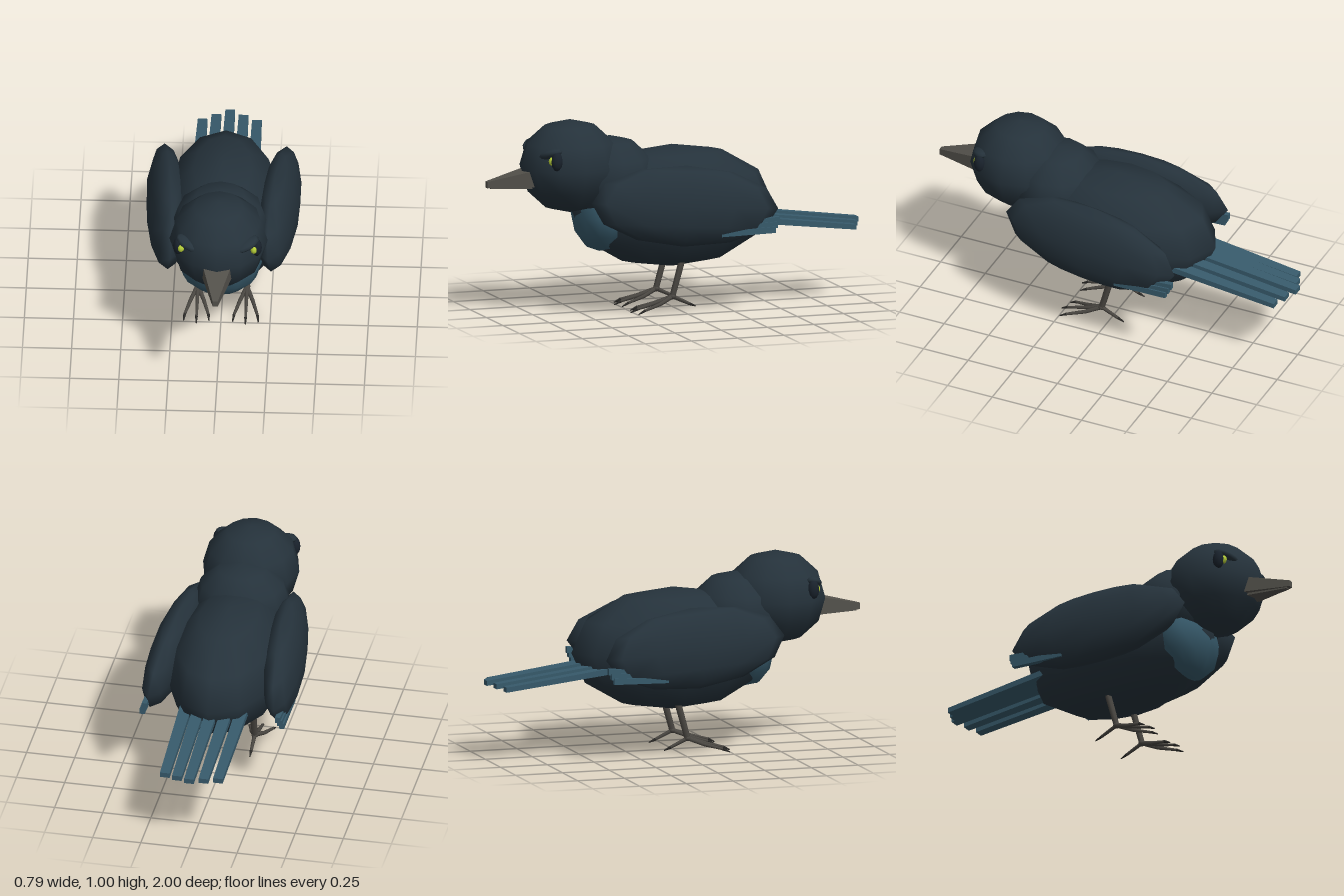
import * as THREE from 'three';

const material = (name, color) => {
  const m = new THREE.MeshStandardMaterial({ color });
  m.name = name;
  return m;
};

export function createModel() {
  const plumage = material('dark plumage', 0x25323b);
  const feather = material('blue feather', 0x375a6b);
  const horn = material('beak grey', 0x53514b);
  const legSkin = material('leg grey', 0x4a4742);
  const clawDark = material('claw dark', 0x2b2a28);
  const iris = material('eye yellow green', 0xb4cc38);
  const socket = material('eye dark', 0x19222c);

  const bird = new THREE.Group();
  bird.name = 'bird';

  const add = (parent, name, geometry, mat) => {
    const mesh = new THREE.Mesh(geometry, mat);
    mesh.name = name;
    parent.add(mesh);
    return mesh;
  };

  // Smooth ellipsoid with few segments
  const blob = (parent, name, mat, pos, radii, rot = [0, 0, 0]) => {
    const mesh = add(parent, name, new THREE.SphereGeometry(1, 12, 6), mat);
    mesh.position.set(...pos);
    mesh.scale.set(...radii);
    mesh.rotation.set(...rot);
    return mesh;
  };

  // Box along z, whose two ends are given as [x, y, z, width, height]
  const taper = (parent, name, mat, a, b) => {
    const geo = new THREE.BoxGeometry(1, 1, 1);
    const p = geo.attributes.position;
    const [back, front] = a[2] < b[2] ? [a, b] : [b, a];
    for (let i = 0; i < p.count; i++) {
      const e = p.getZ(i) > 0 ? front : back;
      p.setXYZ(i, e[0] + p.getX(i) * e[3], e[1] + p.getY(i) * e[4], e[2]);
    }
    geo.computeVertexNormals();
    return add(parent, name, geo, mat);
  };

  // Six-sided rod between two points
  const rod = (parent, name, mat, a, b, ra, rb) => {
    const from = new THREE.Vector3(...a), to = new THREE.Vector3(...b);
    const dir = to.clone().sub(from);
    const mesh = add(parent, name, new THREE.CylinderGeometry(rb, ra, dir.length(), 6), mat);
    mesh.position.copy(from).add(to).multiplyScalar(0.5);
    mesh.quaternion.setFromUnitVectors(new THREE.Vector3(0, 1, 0), dir.normalize());
    return mesh;
  };

  // Trunk, neck, chest and head
  blob(bird, 'body', plumage, [0, 0.525, 0], [0.3, 0.315, 0.54]);
  blob(bird, 'neck', plumage, [0, 0.68, 0.335], [0.25, 0.225, 0.24]);
  blob(bird, 'chest', feather, [0, 0.5, 0.39], [0.215, 0.19, 0.135]);
  blob(bird, 'head', plumage, [0, 0.76, 0.55], [0.25, 0.24, 0.262]);

  // Beak
  taper(bird, 'upperBeak', horn, [0, 0.715, 0.76, 0.15, 0.085], [0, 0.687, 1, 0.026, 0.032]);
  taper(bird, 'lowerBeak', horn, [0, 0.675, 0.74, 0.11, 0.03], [0, 0.672, 0.98, 0.022, 0.014]);

  // Tail feathers, the middle one longest and highest
  for (let i = -2; i <= 2; i++) {
    const n = Math.abs(i);
    taper(bird, 'tailFeather', feather,
      [i * 0.072, 0.485 - n * 0.012, -0.3, 0.064, 0.032],
      [i * 0.069, 0.397 - n * 0.008, -1 + n * 0.03, 0.05, 0.026]);
  }

  // Paired parts, built on the left and mirrored to the right
  for (const side of [1, -1]) {
    const half = new THREE.Group();
    half.name = side > 0 ? 'leftSide' : 'rightSide';
    half.scale.x = side;
    bird.add(half);

    // Wing with blue feather tips
    blob(half, 'wing', plumage, [0.287, 0.567, 0.03], [0.1, 0.207, 0.492], [-0.07, -0.08, 0.1]);
    for (let i = 0; i < 3; i++) {
      taper(half, 'wingFeather', feather,
        [0.358 - i * 0.006, 0.425 + i * 0.02, -0.14 - i * 0.03, 0.03, 0.03],
        [0.362 - i * 0.008, 0.432 + i * 0.024, -0.43 - i * 0.013, 0.026, 0.032]);
    }

    // Eye and slanted brow
    blob(half, 'eyeSocket', socket, [0.2, 0.82, 0.69], [0.026, 0.05, 0.03]);
    blob(half, 'eye', iris, [0.186, 0.82, 0.708], [0.018, 0.023, 0.022]);
    blob(half, 'brow', plumage, [0.145, 0.85, 0.705], [0.075, 0.024, 0.045], [0, 0.5, 0.3]);

    // Leg and foot
    const ankle = [0.125, 0.075, 0.04];
    rod(half, 'leg', legSkin, [0.125, 0.29, -0.02], ankle, 0.018, 0.016);
    blob(half, 'ankle', legSkin, ankle, [0.018, 0.016, 0.018]);
    for (const spread of [-1, 0, 1]) {
      const reach = spread === 0 ? 0.02 : 0;
      const knuckle = [0.125 + spread * 0.033, 0.043, 0.12 + reach];
      const tip = [0.125 + spread * 0.06, 0.02, 0.21 + reach];
      rod(half, 'toe', legSkin, ankle, knuckle, 0.012, 0.01);
      rod(half, 'toe', legSkin, knuckle, tip, 0.01, 0.007);
      rod(half, 'claw', clawDark, tip, [0.125 + spread * 0.065, 0.004, 0.245 + reach], 0.008, 0.003);
    }
    rod(half, 'backToe', legSkin, ankle, [0.125, 0.033, -0.05], 0.011, 0.008);
    rod(half, 'backClaw', clawDark, [0.125, 0.033, -0.05], [0.125, 0.018, -0.085], 0.008, 0.003);
  }

  return bird;
}
